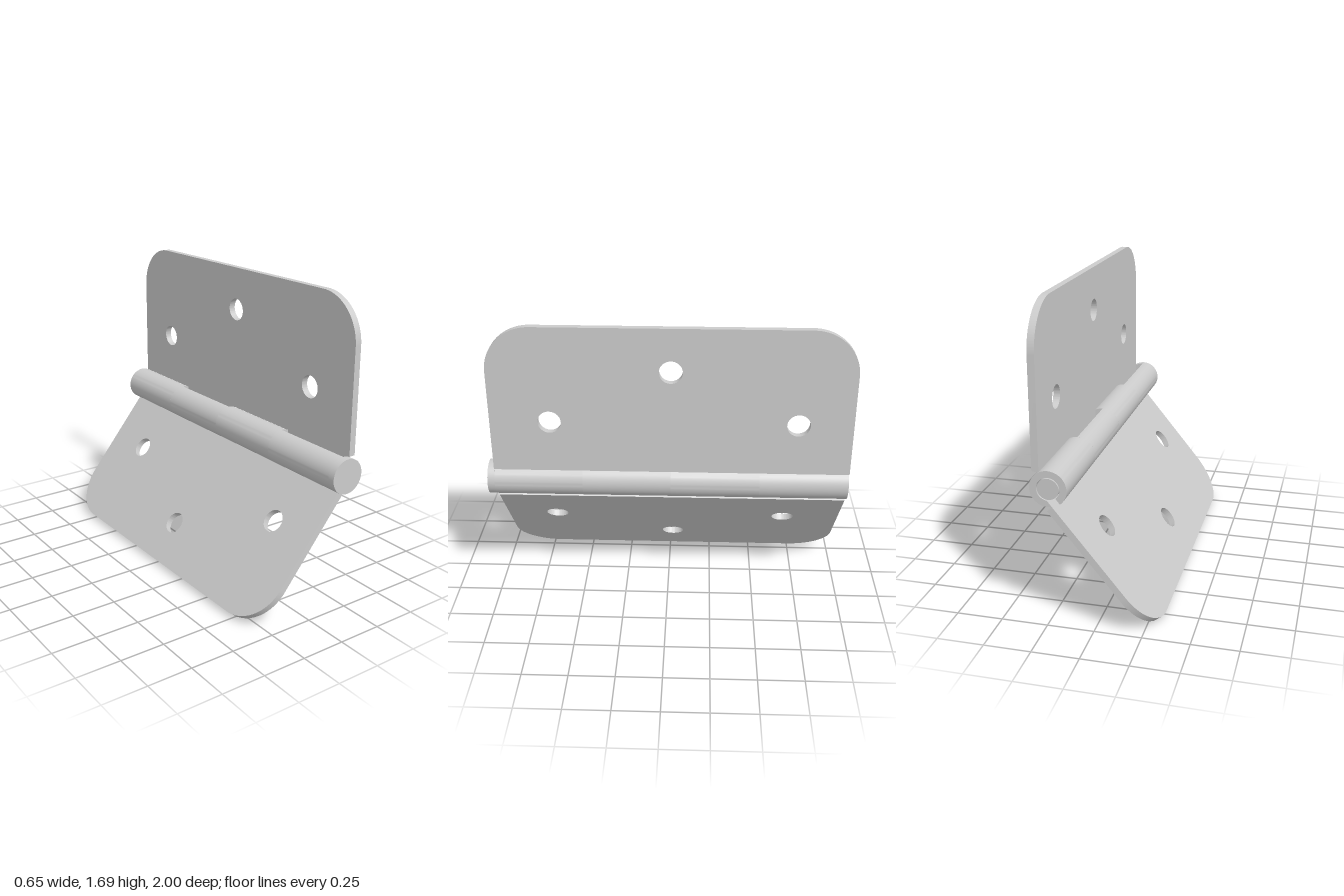
import * as THREE from 'three';
import { toCreasedNormals } from 'three/addons/utils/BufferGeometryUtils.js';

const BARREL_R = 0.097, BORE_R = 0.061, PIN_R = 0.056;
const INNER = 0.044, OUTER = 0.081;      // leaf faces, offset from the pin axis
const HALF = 0.98, KNUCKLE = 0.49;       // half leaf width, knuckle length
const LEAF_START = 0.087, LEAF_END = 0.922, CORNER = 0.25;

const material = new THREE.MeshStandardMaterial({ color: 0xcccccc });

function extrude(shape, depth) {
  const g = new THREE.ExtrudeGeometry(shape, { depth, bevelEnabled: false, curveSegments: 32 });
  return toCreasedNormals(g, 0.5);
}

function add(parent, geometry, name) {
  const mesh = new THREE.Mesh(geometry, material);
  mesh.name = name;
  parent.add(mesh);
  return mesh;
}

// Flat plate with two rounded corners and three screw holes
function plateGeometry() {
  const s = new THREE.Shape();
  s.moveTo(-HALF, LEAF_START);
  s.lineTo(HALF, LEAF_START);
  s.absarc(HALF - CORNER, LEAF_END - CORNER, CORNER, 0, Math.PI / 2, false);
  s.absarc(-HALF + CORNER, LEAF_END - CORNER, CORNER, Math.PI / 2, Math.PI, false);
  s.closePath();
  for (const [z, t] of [[0.655, 0.382], [-0.685, 0.382], [0, 0.68]]) {
    const hole = new THREE.Path();
    hole.absarc(-z, t, 0.063, 0, Math.PI * 2, true);
    s.holes.push(hole);
  }
  return extrude(s, OUTER - INNER).rotateY(Math.PI / 2).translate(INNER, 0, 0);
}

// Curl around the pin that leaves a slot beside the plate
function knuckleGeometry() {
  const s = new THREE.Shape();
  s.moveTo(OUTER, LEAF_START);
  s.absarc(0, 0, BARREL_R, Math.acos(OUTER / BARREL_R), -Math.PI * 1.5, true);
  s.absarc(0, 0, BORE_R, -Math.PI * 1.5, Math.acos(INNER / BORE_R), false);
  s.lineTo(INNER, LEAF_START);
  s.closePath();
  return extrude(s, KNUCKLE);
}

function makeLeaf(name) {
  const leaf = new THREE.Group();
  leaf.name = name;
  add(leaf, plateGeometry(), 'leafPlate');
  for (const z of [-KNUCKLE, KNUCKLE]) {
    add(leaf, knuckleGeometry(), 'knuckle').position.z = z;
  }
  return leaf;
}

export function createModel() {
  const model = new THREE.Group();
  model.name = 'hinge';

  // Everything is laid out around the pin axis
  const hinge = new THREE.Group();
  hinge.name = 'hingeAssembly';
  hinge.position.set(0.223, 0.768, -0.02);
  model.add(hinge);

  hinge.add(makeLeaf('upperLeaf'));

  // The same leaf turned over, its knuckles filling the gaps of the first
  const lower = makeLeaf('lowerLeaf');
  lower.rotation.set(Math.PI, 0, -0.684, 'ZYX');
  hinge.add(lower);

  // Pin with a flat head at the front
  const shaft = new THREE.CylinderGeometry(PIN_R, PIN_R, HALF * 2, 48).rotateX(Math.PI / 2);
  add(hinge, shaft, 'pin');
  const head = new THREE.CylinderGeometry(BARREL_R, BARREL_R, 0.04, 64).rotateX(Math.PI / 2);
  add(hinge, head, 'pinHead').position.z = HALF + 0.02;

  return model;
}
